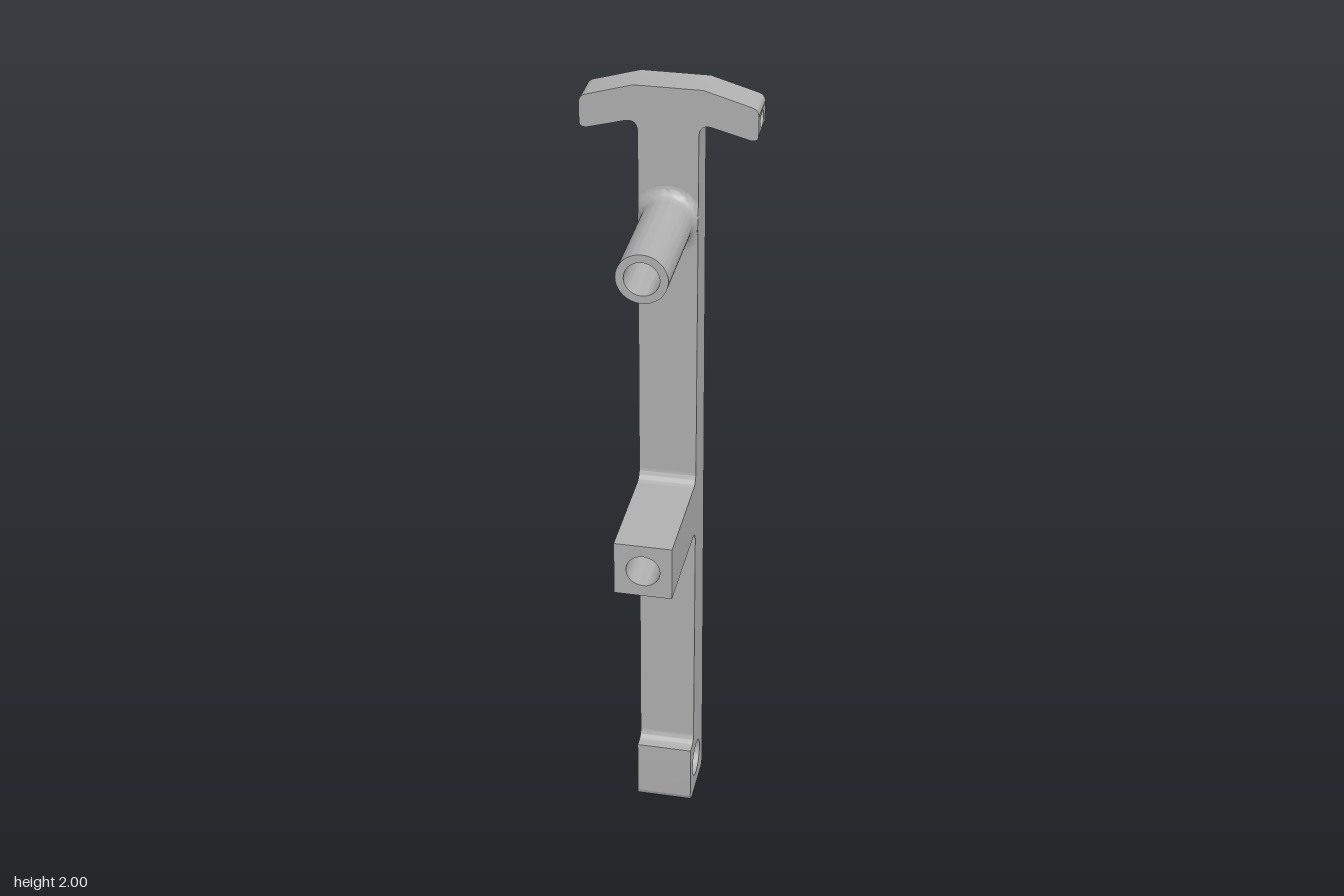
import * as THREE from 'three';
import { toCreasedNormals } from 'three/addons/utils/BufferGeometryUtils.js';

const HALF = 0.07, FRONT = -0.085, TIP = 0.205, REACH = 0.212;
const BAR_BOTTOM = 0.19, BAR_TOP = 1.86;
const POST_Y = 1.675, LUG_Y = 0.9, BORE = 0.041;

// The back face leans forward towards the top
const backZ = (y) => -REACH + (0.04 * Math.min(y, BAR_TOP)) / BAR_TOP;

const hole = (x, y, r) => new THREE.Path().absarc(x, y, r, 0, Math.PI * 2, true);

function rect(x0, y0, x1, y1) {
  return new THREE.Shape().moveTo(x0, y0).lineTo(x1, y0).lineTo(x1, y1).lineTo(x0, y1).closePath();
}

function extrude(shape, depth) {
  return new THREE.ExtrudeGeometry(shape, { depth, bevelEnabled: false, curveSegments: 14 });
}

// Extrude a (z, y) outline across the width, from x0 to x1
function extrudeAcross(shape, x0, x1) {
  return extrude(shape, x1 - x0).rotateY(-Math.PI / 2).translate(x1, 0, 0);
}

// Drop the triangles lying in the flat end faces, so drilled faces can replace them
function removeTipFaces(geometry) {
  const p = geometry.toNonIndexed().attributes.position, kept = [];
  for (let i = 0; i < p.count; i += 3) {
    const ids = [i, i + 1, i + 2];
    if (ids.every((k) => Math.abs(Math.abs(p.getX(k)) - TIP) < 1e-4)) continue;
    ids.forEach((k) => kept.push(p.getX(k), p.getY(k), p.getZ(k)));
  }
  return new THREE.BufferGeometry().setAttribute('position', new THREE.Float32BufferAttribute(kept, 3));
}

export function createModel() {
  const group = new THREE.Group();
  const grey = new THREE.MeshStandardMaterial({ color: 0xb2b2b2, side: THREE.DoubleSide });
  grey.name = 'grey';

  function add(name, geometry) {
    const mesh = new THREE.Mesh(toCreasedNormals(geometry, 0.5), grey);
    mesh.name = name;
    group.add(mesh);
  }

  // Tapered bar with two bores running front to back
  const barShape = rect(-HALF, BAR_BOTTOM, HALF, BAR_TOP);
  barShape.holes.push(hole(0, POST_Y, BORE), hole(0, LUG_Y, BORE));
  const bar = extrude(barShape, 1);
  const p = bar.attributes.position;
  for (let i = 0; i < p.count; i++) p.setZ(i, p.getZ(i) > 0.5 ? FRONT : backZ(p.getY(i)));
  add('bar', bar);

  // Foot with rounded lower corners and a cross hole
  const r = 0.022, footFront = -0.045;
  const foot = new THREE.Shape()
    .moveTo(-REACH + r, 0)
    .lineTo(footFront - r, 0)
    .absarc(footFront - r, r, r, -Math.PI / 2, 0, false)
    .lineTo(footFront, 0.17)
    .lineTo(FRONT + 0.025, 0.17)
    .quadraticCurveTo(FRONT, 0.17, FRONT, BAR_BOTTOM + 0.005)
    .lineTo(backZ(BAR_BOTTOM + 0.005), BAR_BOTTOM + 0.005)
    .lineTo(backZ(r), r)
    .quadraticCurveTo(-REACH, 0, -REACH + r, 0);
  foot.holes.push(hole(-0.125, 0.087, 0.048));
  add('foot', extrudeAcross(foot, -HALF, HALF));

  // Square lug with a bore, blended into the bar above and below
  const lug = rect(-HALF, LUG_Y - HALF, HALF, LUG_Y + HALF);
  lug.holes.push(hole(0, LUG_Y, BORE));
  add('lug', extrude(lug, REACH - FRONT).translate(0, 0, FRONT));
  for (const s of [1, -1]) {
    const y = LUG_Y + s * HALF, f = 0.027;
    const fillet = new THREE.Shape()
      .moveTo(FRONT, y)
      .lineTo(FRONT + f, y)
      .absarc(FRONT + f, y + s * f, f, -s * Math.PI / 2, s > 0 ? -Math.PI : Math.PI, s > 0)
      .closePath();
    add(s > 0 ? 'lugFilletUpper' : 'lugFilletLower', extrudeAcross(fillet, -HALF, HALF));
  }

  // Hollow round post with a flared root, trimmed to the bar width
  const profile = [];
  for (let i = 0; i <= 8; i++) {
    const t = (i / 8) * Math.PI / 2;
    profile.push(new THREE.Vector2(0.085 - 0.025 * Math.sin(t), 0.025 - 0.025 * Math.cos(t)));
  }
  const length = REACH - FRONT;
  profile.push(new THREE.Vector2(0.06, length), new THREE.Vector2(BORE, length), new THREE.Vector2(BORE, 0));
  const post = new THREE.LatheGeometry(profile, 56).rotateX(Math.PI / 2).translate(0, POST_Y, FRONT);
  const q = post.attributes.position;
  for (let i = 0; i < q.count; i++) q.setX(i, THREE.MathUtils.clamp(q.getX(i), -HALF, HALF));
  add('post', post);

  // T-shaped head with sloping shoulders
  const head = new THREE.Shape()
    .moveTo(-HALF, BAR_TOP)
    .lineTo(HALF, BAR_TOP)
    .lineTo(HALF, 1.885)
    .quadraticCurveTo(HALF, 1.919, 0.1, 1.912)
    .lineTo(0.186, 1.889)
    .quadraticCurveTo(TIP, 1.886, TIP, 1.902)
    .lineTo(TIP, 1.947)
    .quadraticCurveTo(TIP, 1.963, 0.19, 1.968)
    .lineTo(0.08, 2)
    .lineTo(-0.08, 2)
    .lineTo(-0.19, 1.968)
    .quadraticCurveTo(-TIP, 1.963, -TIP, 1.947)
    .lineTo(-TIP, 1.902)
    .quadraticCurveTo(-TIP, 1.886, -0.186, 1.889)
    .lineTo(-0.1, 1.912)
    .quadraticCurveTo(-HALF, 1.919, -HALF, 1.885)
    .closePath();
  const headBack = backZ(BAR_TOP);
  add('head', removeTipFaces(extrude(head, FRONT - headBack).translate(0, 0, headBack)));

  // Drilled end faces and the floors of their blind holes
  for (const s of [1, -1]) {
    const side = s > 0 ? 'left' : 'right', mid = (FRONT + headBack) / 2, inner = 0.165;
    const tip = rect(headBack, 1.902, FRONT, 1.947);
    tip.holes.push(hole(mid, 1.9245, 0.02));
    add(side + 'HeadTip', extrudeAcross(tip, s > 0 ? inner : -TIP, s > 0 ? TIP : -inner));
    const floor = new THREE.CircleGeometry(0.02, 24).rotateY(s * Math.PI / 2);
    add(side + 'HoleFloor', floor.translate(s * inner, 1.9245, mid));
  }

  return group;
}
